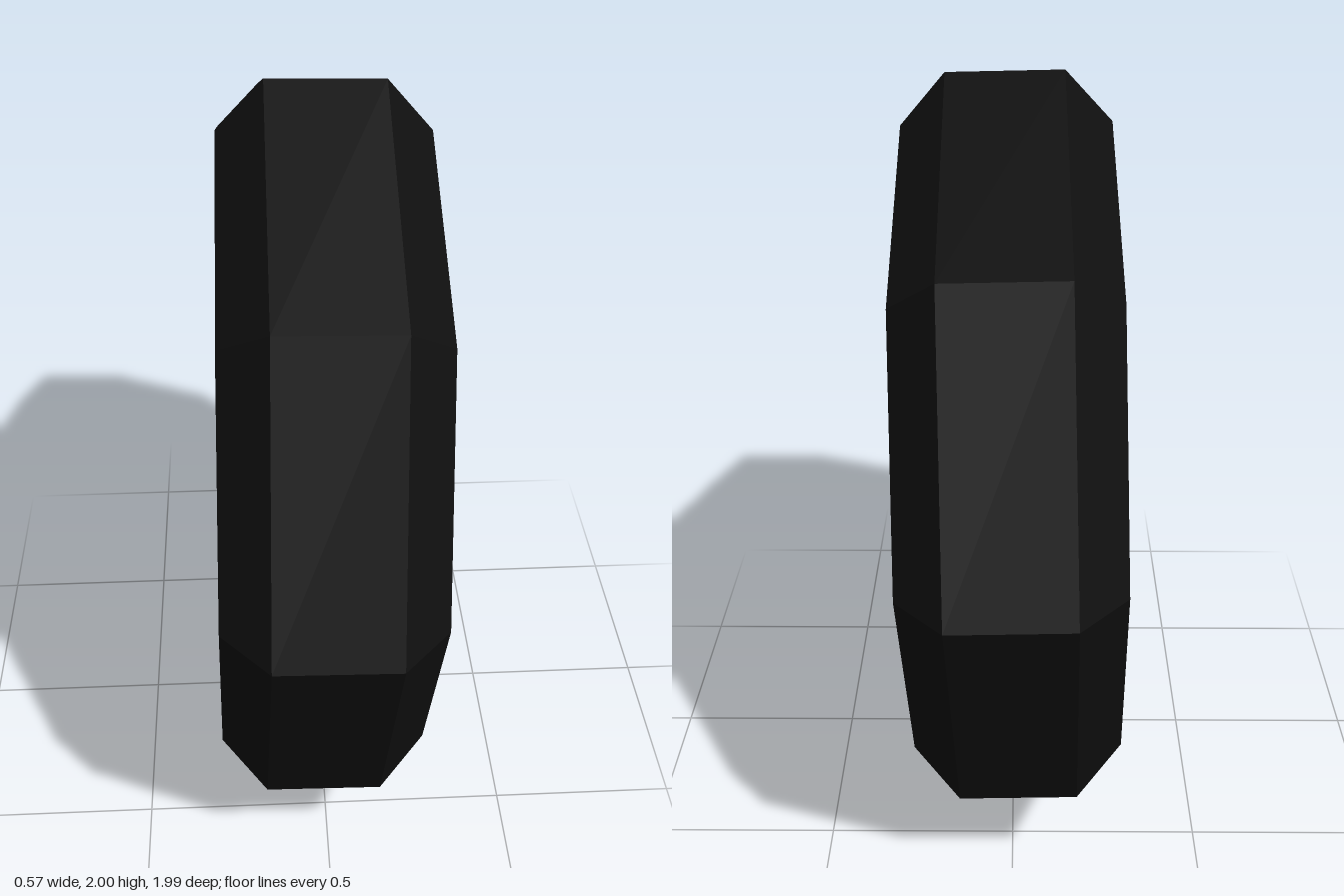
import * as THREE from 'three';

const SIDES = 8;
const TILT = -0.0225;

function material(name, color) {
  const m = new THREE.MeshStandardMaterial({ color });
  m.name = name;
  return m;
}

// Faceted ring swept from [radius, outward offset] points around the axle; outward is -x
function ring(name, profile, mat) {
  const points = profile.map(([r, d]) => new THREE.Vector2(r, d));
  const geometry = new THREE.LatheGeometry(points, SIDES).toNonIndexed();
  geometry.rotateZ(Math.PI / 2);
  geometry.computeVertexNormals();
  const mesh = new THREE.Mesh(geometry, mat);
  mesh.name = name;
  return mesh;
}

export function createModel() {
  const rubber = material('black rubber', 0x0f0f0f);
  const purple = material('purple trim', 0xac5fa3);
  const metal = material('light grey metal', 0xcfcfcf);
  const dark = material('dark grey hub', 0x2e2e2e);

  const wheel = new THREE.Group();
  wheel.name = 'wheel';

  wheel.add(
    // Closed inner face, bevelled tread and recessed outer sidewall
    ring('tire', [
      [0, -0.268], [0.865, -0.268], [0.997, -0.15], [0.997, 0.15],
      [0.865, 0.268], [0.73, 0.268], [0.655, 0.2],
    ], rubber),
    // Flat coloured band between tire and rim
    ring('trimRing', [[0.655, 0.2], [0.57, 0.197]], purple),
    // Raised lip and dished inner cone
    ring('rim', [[0.57, 0.197], [0.527, 0.252], [0.354, 0.172]], metal),
    // Centre plate
    ring('hubPlate', [[0.354, 0.172], [0, 0.172]], dark),
  );

  // Slight camber
  wheel.rotation.z = TILT;
  wheel.position.y = 1;

  const model = new THREE.Group();
  model.name = 'wheelModel';
  model.add(wheel);
  return model;
}
